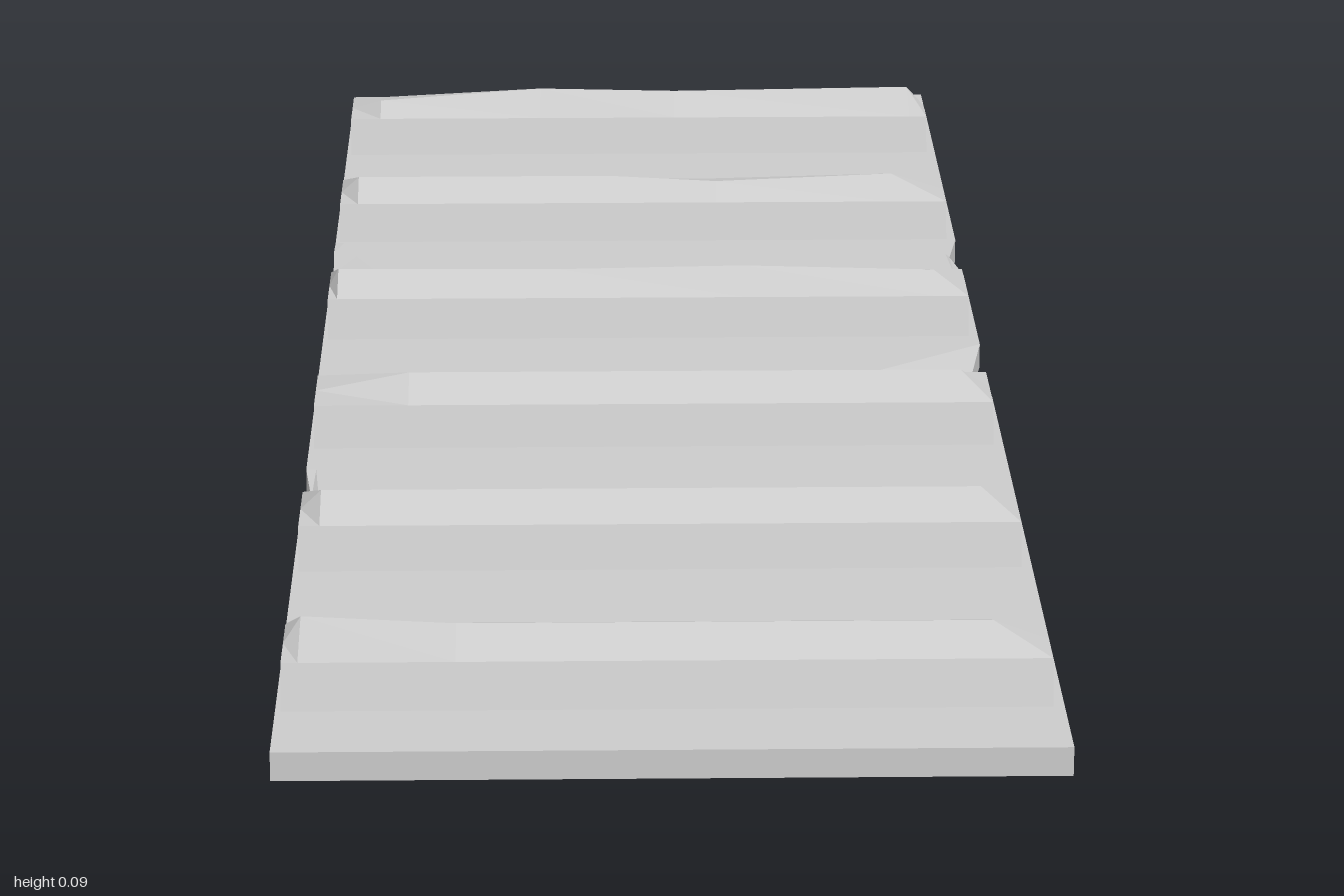
import * as THREE from 'three';

const material = new THREE.MeshStandardMaterial({ color: 0xcccccc, flatShading: true });

// Skin closed rings (counter-clockwise seen from the far end) and cap both ends.
function loft(rings) {
  const n = rings[0].length, index = [];
  for (let i = 0; i < rings.length - 1; i++) {
    for (let j = 0; j < n; j++) {
      const k = (j + 1) % n;
      const a = i * n + j, b = i * n + k, c = b + n, d = a + n;
      index.push(a, b, c, a, c, d);
    }
  }
  const last = (rings.length - 1) * n;
  for (let j = 1; j < n - 1; j++) {
    index.push(0, j + 1, j, last, last + j, last + j + 1);
  }
  const indexed = new THREE.BufferGeometry();
  indexed.setAttribute('position', new THREE.Float32BufferAttribute(rings.flat(2), 3));
  indexed.setIndex(index);
  const geometry = indexed.toNonIndexed();
  geometry.computeVertexNormals();
  return geometry;
}

const TOP = 0.027, HALF = 0.35;

// Slab with chipped long edges: [z, left edge, left y, left inner, right inner, right y, right edge]
function createSlab() {
  const stations = [
    [-1, -0.35, TOP, -0.34, 0.34, TOP, HALF],
    [-0.47, -0.35, TOP, -0.34, 0.34, TOP, HALF],
    [-0.42, -0.35, 0.031, -0.325, 0.335, 0.022, 0.34],
    [-0.34, -0.347, 0.033, -0.29, 0.34, TOP, HALF],
    [-0.26, -0.35, TOP, -0.34, 0.34, TOP, HALF],
    [-0.1, -0.35, TOP, -0.34, 0.34, TOP, HALF],
    [-0.01, -0.35, TOP, -0.34, 0.23, 0.015, 0.333],
    [0.07, -0.35, TOP, -0.34, 0.34, TOP, HALF],
    [0.28, -0.35, TOP, -0.34, 0.34, TOP, HALF],
    [0.35, -0.342, 0.022, -0.335, 0.34, TOP, HALF],
    [0.41, -0.35, TOP, -0.34, 0.34, TOP, HALF],
    [1, -0.35, TOP, -0.34, 0.34, TOP, HALF],
  ];
  return loft(stations.map(([z, le, ly, li, ri, ry, re]) => [
    [le, 0, z], [re, 0, z], [re, ry, z], [ri, TOP, z], [li, TOP, z], [le, ly, z],
  ]));
}

// Hip-ended rib; the crest is a list of [x, z offset, y]
function createRib(crest) {
  const base = 0.064, shoulder = 0.047, shoulderY = 0.067;
  const ring = ([x, dz, y]) => [
    [x, TOP - 0.004, -base], [x, shoulderY, -shoulder], [x, y, dz],
    [x, shoulderY, shoulder], [x, TOP - 0.004, base],
  ];
  return loft([[-0.345, 0, shoulderY], ...crest, [0.34, 0, shoulderY]].map(ring));
}

// Crest line of each rib, from the back to the front
const crests = [
  [[-0.31, 0.02, 0.082], [-0.12, -0.015, 0.086], [0.04, 0.012, 0.09], [0.32, -0.015, 0.086]],
  [[-0.325, 0.004, 0.086], [-0.04, 0.004, 0.086], [0.08, 0.02, 0.084], [0.28, 0, 0.086]],
  [[-0.335, 0, 0.086], [-0.1, 0.005, 0.086], [0.1, -0.005, 0.086], [0.305, 0.01, 0.085]],
  [[-0.25, 0, 0.086], [0.31, 0, 0.086]],
  [[-0.325, 0, 0.086], [0.305, 0, 0.086]],
  [[-0.33, -0.025, 0.083], [-0.19, 0.002, 0.086], [0.29, 0.002, 0.086]],
];

export function createModel() {
  const model = new THREE.Group();
  model.name = 'ribbedPlank';

  const slab = new THREE.Mesh(createSlab(), material);
  slab.name = 'slab';
  model.add(slab);

  // Evenly spaced ribs across the slab
  crests.forEach((crest, i) => {
    const rib = new THREE.Mesh(createRib(crest), material);
    rib.name = `rib${i + 1}`;
    rib.position.z = -0.88 + i * 0.345;
    model.add(rib);
  });
  return model;
}
